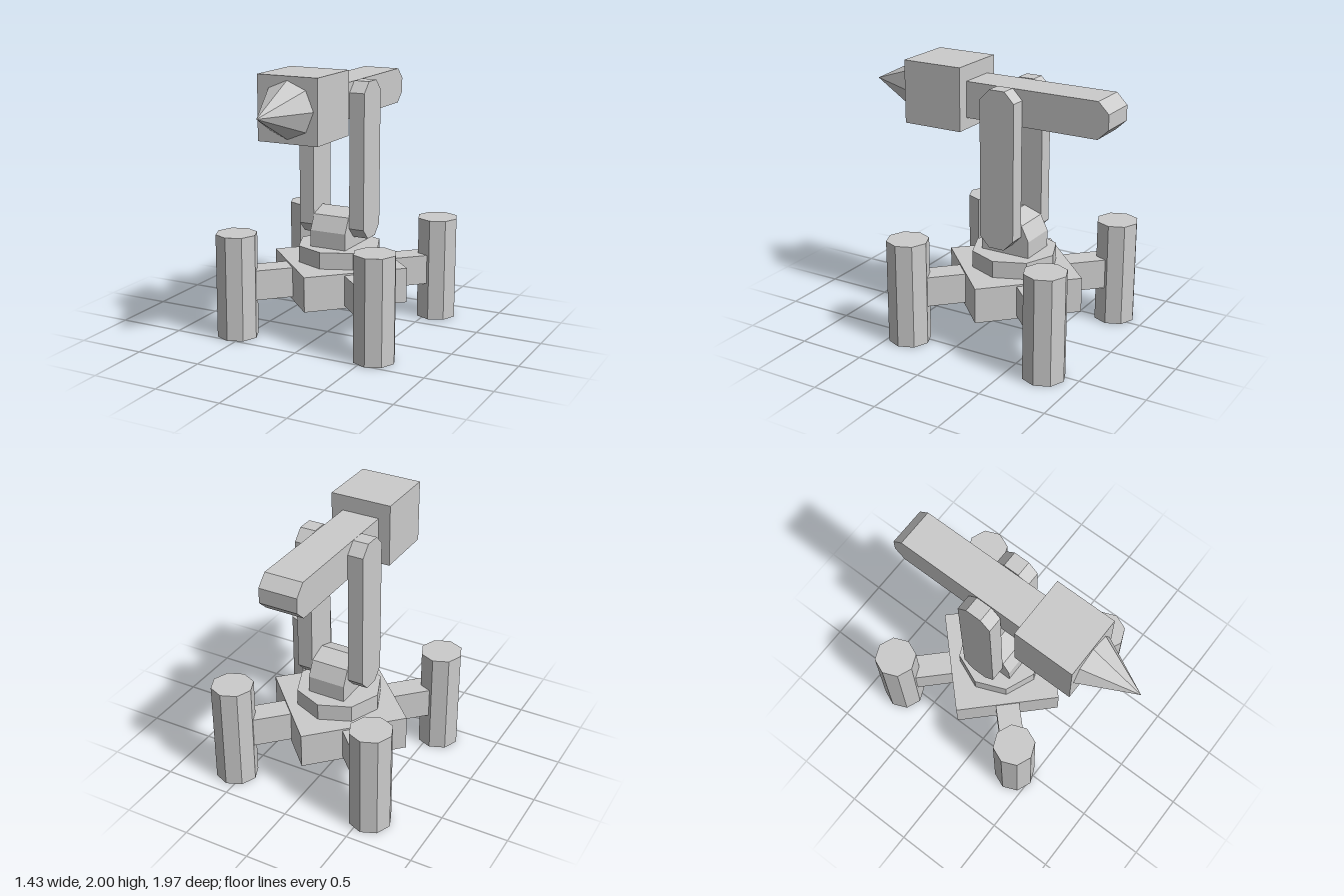
import * as THREE from 'three';

const BASE_Z = -0.197; // vertical axis of the base and arm

const material = new THREE.MeshStandardMaterial({
  color: 0xcccccc,
  flatShading: true,
});

function part(name, geometry, x = 0, y = 0, z = 0) {
  const mesh = new THREE.Mesh(geometry, material);
  mesh.name = name;
  mesh.position.set(x, y, z);
  return mesh;
}

// Upright octagonal prism standing on its origin
function octagon(radius, height) {
  return new THREE.CylinderGeometry(radius, radius, height, 8).translate(0, height / 2, 0);
}

// Side profile of [z, y] points, extruded along x and centred on it
function sideProfile(points, width) {
  const shape = new THREE.Shape(points.map(([z, y]) => new THREE.Vector2(z, y)));
  return new THREE.ExtrudeGeometry(shape, { depth: width, bevelEnabled: false })
    .translate(0, 0, -width / 2)
    .rotateY(-Math.PI / 2);
}

export function createModel() {
  const model = new THREE.Group();
  model.name = 'robotArm';

  // Square base turned to a diamond
  const base = part('base', new THREE.BoxGeometry(0.786, 0.262, 0.786), 0, 0.392, BASE_Z);
  base.rotation.y = Math.PI / 4;
  model.add(base);

  // Four legs, each a strut with an octagonal post
  for (let i = 0; i < 4; i++) {
    const leg = new THREE.Group();
    leg.name = 'leg';
    leg.position.z = BASE_Z;
    leg.rotation.y = Math.PI / 4 + (i * Math.PI) / 2;
    const reach = 0.56 * Math.SQRT2;
    leg.add(part('strut', new THREE.BoxGeometry(0.5, 0.225, 0.18), reach - 0.25, 0.397, 0));
    const post = part('post', octagon(0.156, 0.785), reach, 0, 0);
    post.rotation.y = Math.PI / 4;
    leg.add(post);
    model.add(leg);
  }

  // Turntable
  model.add(part('turntable', octagon(0.318, 0.125), 0, 0.523, BASE_Z));

  // Shoulder block with a faceted round top
  const shoulder = [[-0.193, 0.645], [0.193, 0.645]];
  for (let i = 0; i <= 4; i++) {
    const a = (i * Math.PI) / 4;
    shoulder.push([0.193 * Math.cos(a), 0.772 + 0.159 * Math.sin(a)]);
  }
  model.add(part('shoulder', sideProfile(shoulder, 0.286), 0, 0, BASE_Z));

  // Pair of uprights with chamfered ends
  const r = 0.135, f = 0.06, bottom = 0.725, top = 1.888, c = 0.078;
  const upright = [
    [-f, bottom], [f, bottom], [r, bottom + c], [r, top - c],
    [f, top], [-f, top], [-r, top - c], [-r, bottom + c],
  ];
  for (const side of [-1, 1]) {
    model.add(part('upright', sideProfile(upright, 0.117), side * 0.2055, 0, BASE_Z));
  }

  // Upper beam, chamfered at the back
  const beam = [
    [0.13, 1.62], [0.13, 1.885], [-0.908, 1.885],
    [-0.987, 1.805], [-0.987, 1.695], [-0.908, 1.62],
  ];
  model.add(part('beam', sideProfile(beam, 0.286)));

  // Head block and pointed tip
  model.add(part('head', new THREE.BoxGeometry(0.464, 0.464, 0.464), 0, 1.768, 0.353));
  const tip = new THREE.ConeGeometry(0.202, 0.402, 8).rotateX(Math.PI / 2);
  model.add(part('tip', tip, 0, 1.768, 0.786));

  return model;
}
